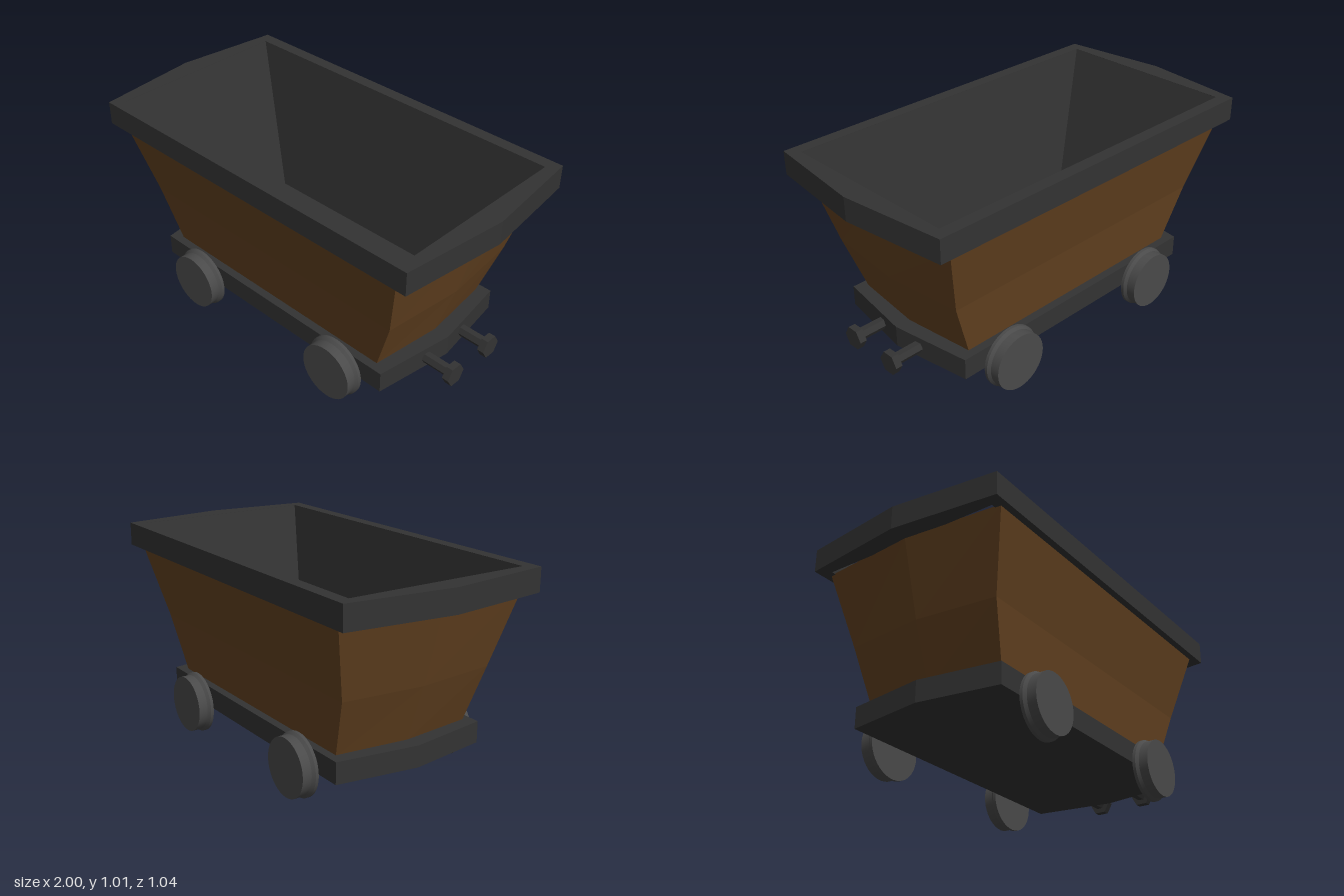
import * as THREE from 'three';
import { toCreasedNormals } from 'three/addons/utils/BufferGeometryUtils.js';

const iron = new THREE.MeshStandardMaterial({ color: 0x333333, flatShading: true });
const wood = new THREE.MeshStandardMaterial({ color: 0x654321, flatShading: true });
const steel = new THREE.MeshStandardMaterial({ color: 0x4a4a4a });

// Plan outlines as [x, z], counter-clockwise seen from above
const hexPlan = (corner, mid, half) => [
  [corner, half], [mid, 0], [corner, -half], [-corner, -half], [-mid, 0], [-corner, half],
];
const rectPlan = (x, z) => [[x, z], [x, -z], [-x, -z], [-x, z]];

// Walls joining horizontal rings, listed from bottom to top
function loft(levels) {
  const pos = [];
  for (let k = 0; k < levels.length - 1; k++) {
    const lo = levels[k], hi = levels[k + 1], n = lo.ring.length;
    for (let i = 0; i < n; i++) {
      const j = (i + 1) % n;
      const at = (l, m) => [l.ring[m][0], l.y, l.ring[m][1]];
      const a = at(lo, i), b = at(lo, j), c = at(hi, j), d = at(hi, i);
      pos.push(...a, ...b, ...c, ...a, ...c, ...d);
    }
  }
  const geo = new THREE.BufferGeometry();
  geo.setAttribute('position', new THREE.Float32BufferAttribute(pos, 3));
  geo.computeVertexNormals();
  return geo;
}

// Flat plate of a given plan, with an optional opening
function plate(plan, y0, y1, hole) {
  const pts = (p) => p.map(([x, z]) => new THREE.Vector2(x, -z));
  const shape = new THREE.Shape(pts(plan));
  if (hole) shape.holes.push(new THREE.Path(pts(hole)));
  const geo = new THREE.ExtrudeGeometry(shape, { depth: y1 - y0, bevelEnabled: false });
  return geo.rotateX(-Math.PI / 2).translate(0, y0, 0);
}

export function createModel() {
  const cart = new THREE.Group();
  cart.name = 'mineCart';
  const add = (name, geo, mat, x = 0, y = 0, z = 0) => {
    const mesh = new THREE.Mesh(geo, mat);
    mesh.name = name;
    mesh.position.set(x, y, z);
    cart.add(mesh);
    return mesh;
  };

  add('chassis', plate(hexPlan(0.73, 0.79, 0.4), 0.155, 0.26), iron);
  add('rim', plate(hexPlan(0.94, 1, 0.522), 0.9, 1.015, rectPlan(0.89, 0.46)), iron);

  // Flared tub with pointed ends
  add('tub', loft([
    { y: 0.255, ring: hexPlan(0.67, 0.71, 0.358) },
    { y: 0.54, ring: hexPlan(0.77, 0.81, 0.4) },
    { y: 0.905, ring: hexPlan(0.866, 0.911, 0.49) },
  ]), wood);

  // Straight-sided lining, facing inwards, and its floor
  add('lining', loft([
    { y: 0.265, ring: rectPlan(0.65, 0.35).reverse() },
    { y: 1.014, ring: rectPlan(0.89, 0.46).reverse() },
  ]), iron);
  add('floor', new THREE.BoxGeometry(1.3, 0.02, 0.7), iron, 0, 0.256, 0);

  // Flanged wheels
  const profile = [[0, 0], [0.152, 0], [0.152, 0.015], [0.141, 0.029], [0.141, 0.075], [0, 0.075]]
    .map(([r, h]) => new THREE.Vector2(r, h));
  const wheelGeo = toCreasedNormals(new THREE.LatheGeometry(profile, 40), 0.6);
  for (const x of [-0.46, 0.47]) {
    for (const side of [1, -1]) {
      const wheel = add('wheel', wheelGeo, steel, x, 0.152, side * 0.405);
      wheel.rotation.x = side * Math.PI / 2;
    }
  }

  // Pair of hexagonal buffers on one end
  const hexBar = (r, len) => new THREE.CylinderGeometry(r, r, len, 6).rotateZ(Math.PI / 2);
  for (const z of [0.128, -0.128]) {
    add('bufferRod', hexBar(0.029, 0.19), iron, 0.815, 0.207, z);
    add('bufferHead', hexBar(0.056, 0.035), iron, 0.922, 0.207, z);
  }
  return cart;
}
